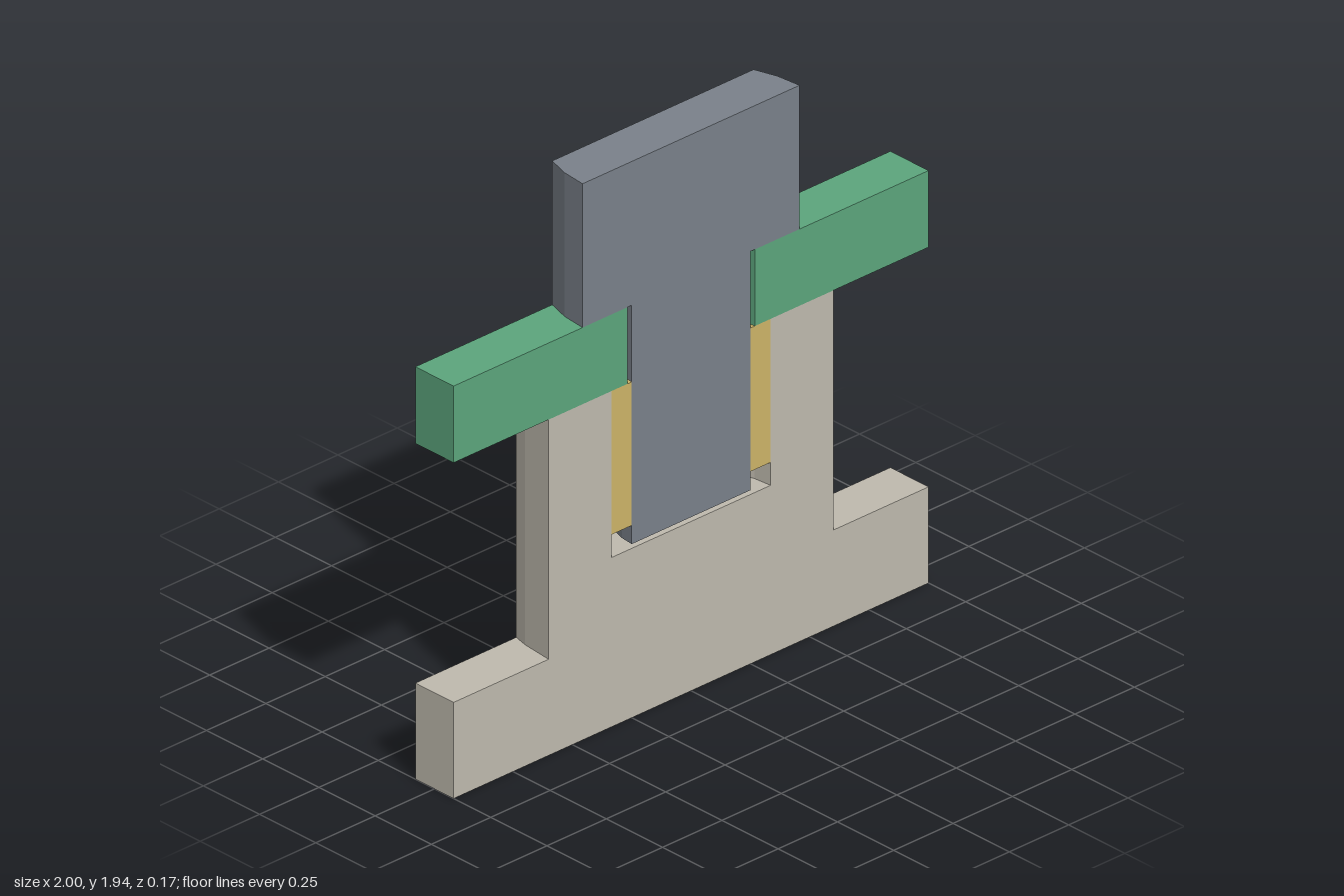
import * as THREE from 'three';

const DEPTH = 0.17; // thickness of the section slice; cylinder axes lie in its front plane
const STEP = Math.PI / 16;

// Plan edge [x, depth behind front plane] of a faceted cylinder of radius r, cut at DEPTH
function arc(r) {
  const end = Math.asin(DEPTH / r);
  const pts = [];
  for (let a = 0; a < end - 0.02; a += STEP) pts.push([r * Math.cos(a), r * Math.sin(a)]);
  pts.push([r * Math.cos(end), DEPTH]);
  return pts;
}
const flat = (x) => [[x, 0], [x, DEPTH]];
const mirror = (pts) => pts.map(([x, d]) => [-x, d]);

// Prism between two plan edges, from height y0 to y1
function prism(right, left, y0, y1, material, name) {
  const outline = [...right, ...left.slice().reverse()];
  const shape = new THREE.Shape(outline.map(([x, d]) => new THREE.Vector2(x, d - DEPTH / 2)));
  const geo = new THREE.ExtrudeGeometry(shape, { depth: y1 - y0, bevelEnabled: false });
  geo.rotateX(-Math.PI / 2).translate(0, y0, 0);
  const mesh = new THREE.Mesh(geo, material);
  mesh.name = name;
  return mesh;
}
const solid = (edge, y0, y1, mat, name) => prism(edge, mirror(edge), y0, y1, mat, name);
const pair = (outer, inner, y0, y1, mat, name) => [
  prism(outer, inner, y0, y1, mat, name + 'Left'),
  prism(mirror(inner), mirror(outer), y0, y1, mat, name + 'Right'),
];

function group(name, ...parts) {
  const g = new THREE.Group();
  g.name = name;
  g.add(...parts);
  return g;
}

export function createModel() {
  const mat = (color) => new THREE.MeshStandardMaterial({ color });
  const stone = mat(0xbfbaae), steel = mat(0x7a818a), green = mat(0x5ca57c), brass = mat(0xcdb468);

  return group('sectionedAssembly',
    // Housing: wide foot, solid column, then walls around the bore
    group('housing',
      solid(flat(1), 0, 0.335, stone, 'foot'),
      solid(arc(0.6), 0.335, 0.59, stone, 'column'),
      ...pair(arc(0.6), arc(0.335), 0.59, 1.17, stone, 'boreWall')),
    // Liner between bore and shaft, stopping above the bore floor
    group('bushing', ...pair(arc(0.335), arc(0.25), 0.67, 1.17, brass, 'bushing')),
    // Plate with a clearance hole around the shaft
    group('plate', ...pair(flat(1), arc(0.268), 1.17, 1.437, green, 'plate')),
    // Headed pin
    group('pin',
      solid(arc(0.25), 0.605, 1.437, steel, 'shaft'),
      solid(arc(0.457), 1.437, 1.938, steel, 'head')));
}
